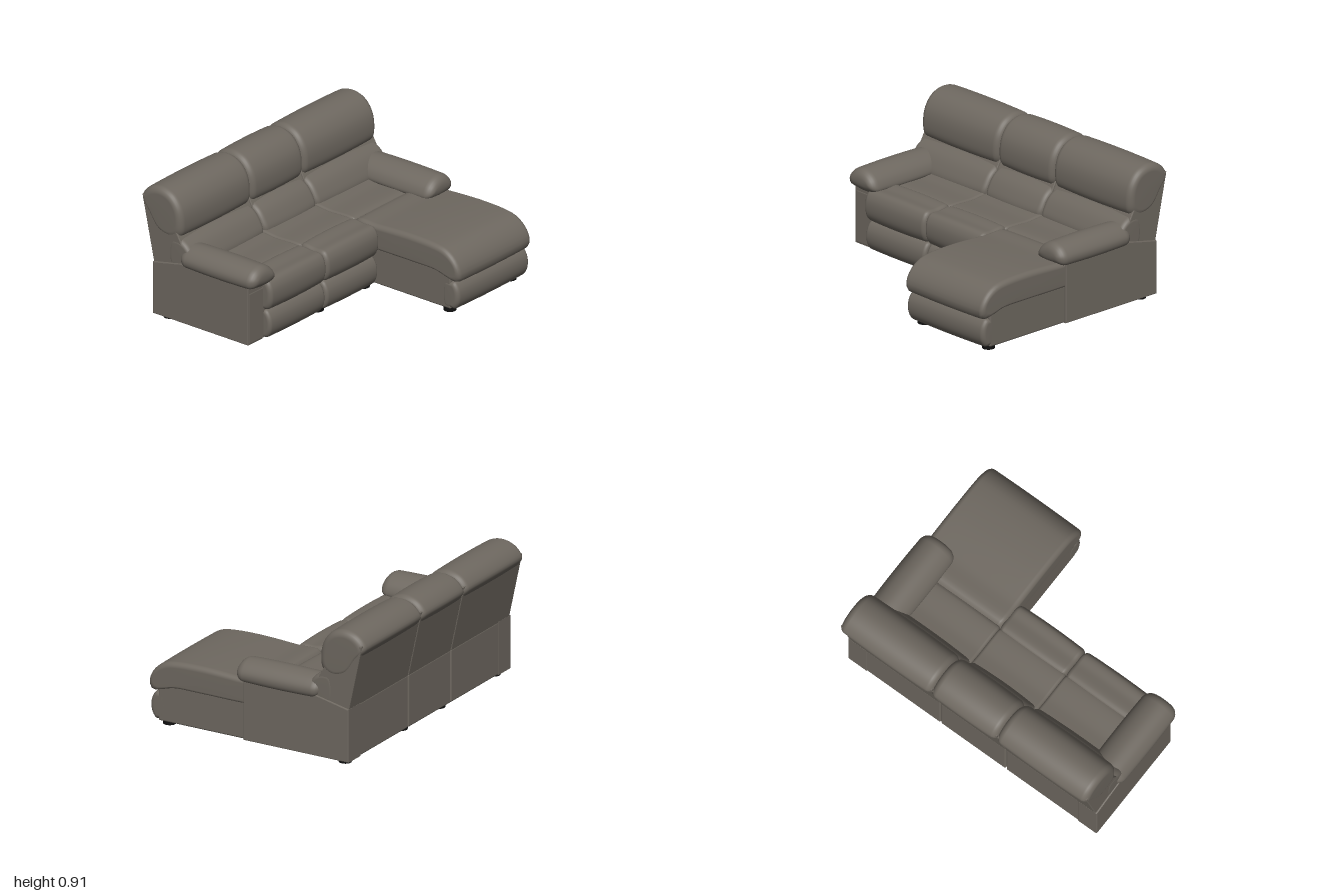
import * as THREE from 'three';
import { RoundedBoxGeometry } from 'three/addons/geometries/RoundedBoxGeometry.js';

const leather = new THREE.MeshStandardMaterial({ color: 0x6e6860 });
leather.name = 'warm grey leather';
const black = new THREE.MeshStandardMaterial({ color: 0x111111 });
black.name = 'black feet';

// Stuffed cushion: a smooth closed outline swept from w0 to w1, shrinking softly at both ends.
function puff(outline, w0, w1, r = 0.035, crown = 0.008) {
  const pts = THREE.ShapeUtils.area(outline.map(p => new THREE.Vector2(...p))) < 0 ? [...outline].reverse() : outline;
  const curve = new THREE.CatmullRomCurve3(pts.map(p => new THREE.Vector3(p[0], p[1], 0)), true);
  const ring = curve.getSpacedPoints(64).slice(0, 64), n = ring.length;
  const box = new THREE.Box3().setFromPoints(ring);
  const c = box.getCenter(new THREE.Vector3()), half = box.getSize(new THREE.Vector3()).multiplyScalar(0.5);
  const stations = [];
  for (let i = 0; i <= 6; i++) {
    const a = (i / 6) * Math.PI / 2;
    stations.push([w0 + r * (1 - Math.cos(a)), r * (1 - Math.sin(a))]);
  }
  for (let i = 1; i < 10; i++) stations.push([w0 + r + (w1 - w0 - 2 * r) * i / 10, 0]);
  for (let i = 6; i >= 0; i--) stations.push([w0 + w1 - stations[i][0], stations[i][1]]);
  const pos = [], idx = [];
  for (const [w, inset] of stations) {
    const t = 2 * (w - w0) / (w1 - w0) - 1, d = inset + crown * t * t;
    const sx = Math.max(0.05, 1 - d / half.x), sy = Math.max(0.05, 1 - d / half.y);
    for (const p of ring) pos.push(c.x + (p.x - c.x) * sx, c.y + (p.y - c.y) * sy, w);
  }
  const last = (stations.length - 1) * n, end = last + n;
  pos.push(c.x, c.y, w0, c.x, c.y, w1);
  for (let k = 0; k < n; k++) {
    const k1 = (k + 1) % n;
    for (let s = 0; s < last; s += n) {
      const a = s + k, b = s + k1;
      idx.push(a, b, a + n, b, b + n, a + n);
    }
    idx.push(end, k1, k, end + 1, last + k, last + k1);
  }
  const g = new THREE.BufferGeometry();
  g.setAttribute('position', new THREE.Float32BufferAttribute(pos, 3));
  g.setIndex(idx);
  g.computeVertexNormals();
  return g;
}

// Block outline with a bulging front edge
const bulge = (x0, x1, y0, y1, k = 0.04) => [
  [x0, y0], [(x0 + x1) / 2, y0], [x1 - k, y0], [x1 - k * 0.25, y0 + k], [x1, (y0 + y1) / 2],
  [x1 - k * 0.25, y1 - k], [x1 - k, y1], [(x0 + x1) / 2, y1 + 0.003], [x0, y1],
];

// Flat panel outline extruded along z with a tiny bevel
function slab(points, z0, z1) {
  const b = 0.006;
  const g = new THREE.ExtrudeGeometry(new THREE.Shape(points.map(p => new THREE.Vector2(...p))), {
    depth: z1 - z0 - 2 * b, bevelEnabled: true, bevelSize: b, bevelOffset: -b, bevelThickness: b, bevelSegments: 2,
  });
  return g.translate(0, 0, z0 + b);
}

function block(x0, x1, y0, y1, z0, z1) {
  return new RoundedBoxGeometry(x1 - x0, y1 - y0, z1 - z0, 3, 0.012)
    .translate((x0 + x1) / 2, (y0 + y1) / 2, (z0 + z1) / 2);
}

export function createModel() {
  const model = new THREE.Group();
  model.name = 'sectionalSofa';
  const add = (name, geometry, material = leather) => {
    const m = new THREE.Mesh(geometry, material);
    m.name = name;
    model.add(m);
  };

  const backShell = [[-0.68, 0.38], [-0.46, 0.38], [-0.44, 0.53], [-0.49, 0.62], [-0.6, 0.82], [-0.775, 0.82]];
  const headrest = [[-0.795, 0.8], [-0.775, 0.845], [-0.72, 0.888], [-0.63, 0.905], [-0.54, 0.875], [-0.478, 0.8],
    [-0.456, 0.7], [-0.47, 0.61], [-0.54, 0.57], [-0.65, 0.6], [-0.74, 0.72]];
  const lumbar = [[-0.56, 0.59], [-0.49, 0.6], [-0.42, 0.565], [-0.37, 0.5], [-0.345, 0.43], [-0.37, 0.38], [-0.56, 0.38]];

  // Three backrest sections: z range, and z range of the seat between the arms
  const sections = [
    { name: 'left', z: [0.262, 0.962], seat: [0.268, 0.825] },
    { name: 'middle', z: [-0.248, 0.258], seat: [-0.25, 0.268] },
    { name: 'right', z: [-0.962, -0.252], seat: [-0.82, -0.25] },
  ];
  for (const { name, z: [a, b], seat: [s, e] } of sections) {
    add(name + 'Base', block(-0.68, 0.09, 0.03, 0.385, a, b));
    add(name + 'BackShell', slab(backShell, a, b));
    add(name + 'HeadCushion', puff(headrest, a - 0.004, b + 0.004, 0.045, 0.006));
    add(name + 'LumbarCushion', puff(lumbar, a - 0.002, b + 0.002, 0.035, 0.012));
    add(name + 'SeatRear', puff(bulge(-0.46, -0.045, 0.25, 0.425, 0.02), s, e, 0.02, 0.004));
    if (name === 'right') continue;
    add(name + 'SeatFront', puff(bulge(-0.075, 0.158, 0.225, 0.432), s, e, 0.03, 0.006));
    add(name + 'Footrest', puff(bulge(-0.02, 0.148, 0.032, 0.222), s + 0.004, e - 0.004, 0.025, 0.004));
  }

  // Mirrored arms: side panel and stuffed pad running front to back
  const armSide = [[-0.682, 0.03], [0.088, 0.03], [0.088, 0.43], [-0.45, 0.435], [-0.682, 0.385]];
  const armPad = [[0.74, 0.43], [0.755, 0.49], [0.81, 0.54], [0.88, 0.558], [0.95, 0.535], [0.995, 0.475],
    [0.985, 0.425], [0.93, 0.41], [0.8, 0.405]];
  for (const side of [1, -1]) {
    const label = side > 0 ? 'left' : 'right';
    add(label + 'ArmPanel', side > 0 ? slab(armSide, 0.822, 0.972) : slab(armSide, -0.972, -0.822));
    const pad = puff(armPad.map(([z, y]) => [-side * z, y]), -0.47, 0.148, 0.06, 0.006);
    add(label + 'ArmPad', pad.rotateY(Math.PI / 2));
  }

  // Chaise: box, long top pad and lower front pad
  add('chaiseBase', block(0.08, 0.72, 0.03, 0.3, -0.955, -0.25));
  const chaiseTop = [[-0.055, 0.27], [-0.055, 0.425], [0.12, 0.437], [0.4, 0.45], [0.6, 0.442], [0.68, 0.425], [0.75, 0.375],
    [0.79, 0.31], [0.795, 0.255], [0.77, 0.22], [0.7, 0.23], [0.62, 0.255], [0.4, 0.26], [0.1, 0.26]];
  add('chaisePad', puff(chaiseTop, -0.962, -0.242, 0.035, 0.004));
  add('chaiseFrontPad', puff(bulge(0.66, 0.787, 0.032, 0.22), -0.955, -0.248, 0.03, 0.005));

  // Feet
  const feet = [[-0.61, 0.89], [-0.61, 0.23], [-0.61, -0.22], [-0.61, -0.89],
    [0.04, 0.23], [0.04, -0.22], [0.675, -0.3], [0.675, -0.89]];
  for (const [x, z] of feet) {
    add('foot', new THREE.CylinderGeometry(0.041, 0.041, 0.036, 20).translate(x, 0.018, z), black);
  }
  return model;
}
